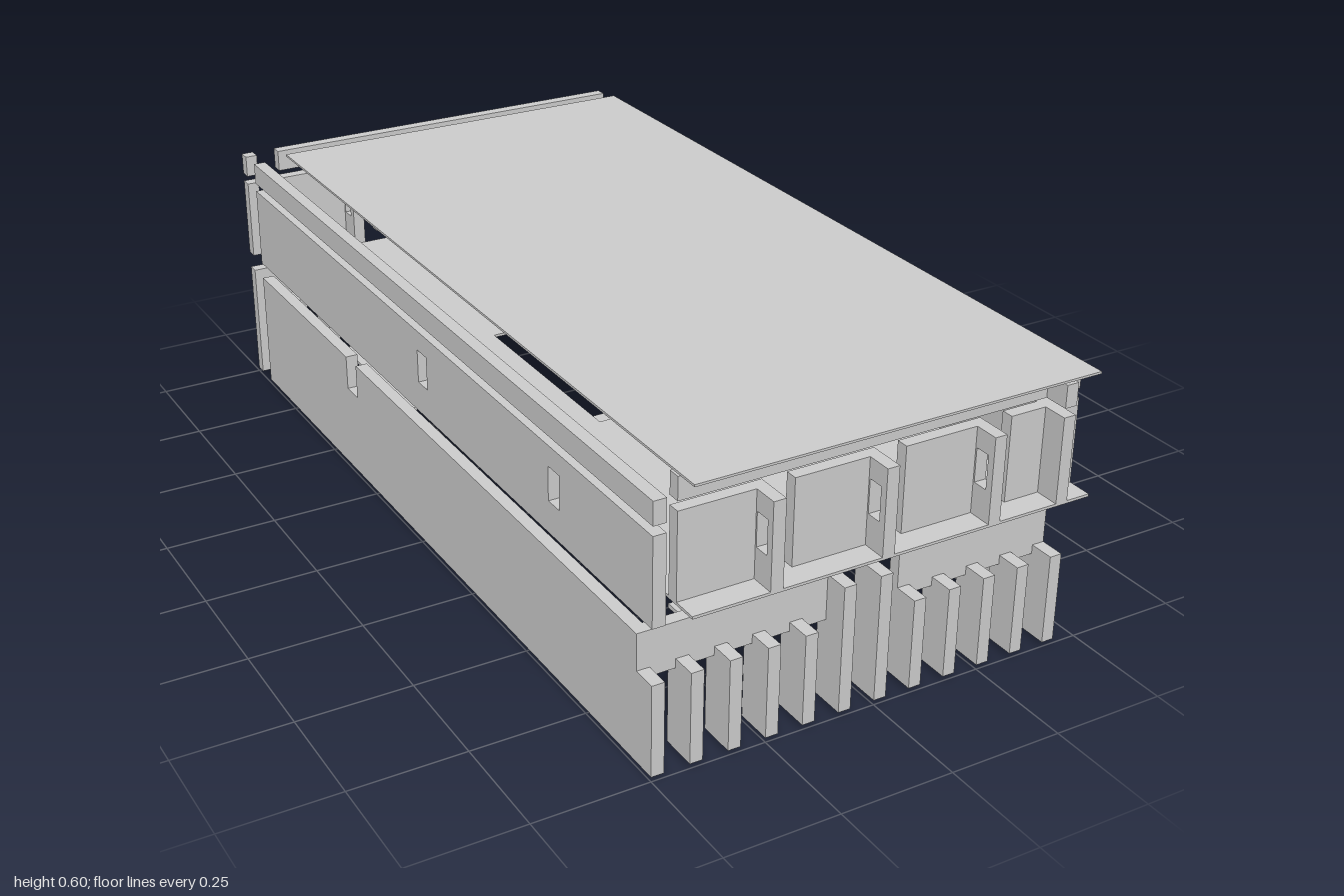
import * as THREE from 'three';

const T = 1 / 36;          // wall thickness
const IN = 33 / 36;        // inner face of the end zones
const MID = 34 / 36;
const OUT = 35 / 36;

export function createModel() {
  const model = new THREE.Group();
  const mat = new THREE.MeshStandardMaterial({ color: 0xcccccc, side: THREE.DoubleSide });

  function add(name, geometry) {
    const mesh = new THREE.Mesh(geometry, mat);
    mesh.name = name;
    model.add(mesh);
    return mesh;
  }

  // Box given by its limits
  function box(name, x0, x1, y0, y1, z0, z1) {
    add(name, new THREE.BoxGeometry(x1 - x0, y1 - y0, z1 - z0))
      .position.set((x0 + x1) / 2, (y0 + y1) / 2, (z0 + z1) / 2);
  }

  function rectHole([a0, a1, b0, b1]) {
    return new THREE.Path([[a0, b0], [a0, b1], [a1, b1], [a1, b0]].map(p => new THREE.Vector2(...p)));
  }

  // Wall in the z-y plane from an outline and rectangular windows
  function sideWall(name, x, outline, windows = []) {
    const shape = new THREE.Shape(outline.map(p => new THREE.Vector2(...p)));
    shape.holes = windows.map(rectHole);
    const geo = new THREE.ExtrudeGeometry(shape, { depth: T, bevelEnabled: false });
    geo.rotateY(-Math.PI / 2);
    add(name, geo).position.x = x + T;
  }

  // Wall outline whose top edge has notches, listed by rising z
  function notched(z0, z1, y0, y1, notchY, notches) {
    const pts = [[z0, y0], [z1, y0]];
    for (const [a, b] of [...notches].reverse()) {
      if (b < z1) pts.push([b, y1]);
      else pts.pop(), pts.push([z1, y0]);
      pts.push([b, notchY], [a, notchY], [a, y1]);
    }
    if (!notches.length || notches[notches.length - 1][1] < z1) pts.splice(2, 0, [z1, y1]);
    pts.push([z0, y1]);
    return pts;
  }

  const left = -0.5, right = 15 / 36;
  const frontGrid = i => -0.5 + i / 12;

  // Lower storey: long walls with notches and a doorway on the right
  sideWall('lowerLeftWall', left, notched(-IN, 1, 0.01, 0.29, 0.21, [[-0.39, -0.335], [MID, 1]]));
  sideWall('lowerRightFrontWall', right, notched(1 / 12, 1, 0.01, 0.29, 0.21, [[0.53, 0.585], [MID, 1]]));
  sideWall('lowerRightBackWall', right, notched(-OUT, -1 / 12, 0.01, 0.29, 0.21, [[-0.55, -0.5]]));
  box('lowerRightBackEnd', right, right + T, 0.01, 0.2, -1, -OUT);

  // Lower storey: rows of fins at both ends, door posts taller
  for (let i = 0; i < 11; i++) {
    const x = frontGrid(i), top = i === 5 || i === 6 ? 0.29 : 0.21;
    if (i > 0) box('frontFin', x, x + T, 0.01, top, IN, 1);
    if (i > 0) box('backFin', x, x + T, 0.01, top, -1, -IN);
  }
  box('backCornerPost', left, left + T, 0.01, 0.29, -1, -OUT);

  // Lower storey: end beams either side of the doorways
  box('frontBeam', left + T, -1 / 18, 0.19, 0.29, IN, MID);
  box('frontBeam', 1 / 12, right + T, 0.19, 0.29, IN, MID);
  box('backBeam', left, -1 / 18, 0.19, 0.29, -1, -OUT);
  box('backBeam', 1 / 12, 0.5, 0.19, 0.29, -1, -OUT);

  // Ground tiles
  box('groundTile', 0, 1 / 3, 0, 0.01, -1 / 3, 1 / 6);
  box('groundTile', -1 / 6, 0, 0, 0.01, 0.5, 0.583);
  box('groundTile', -1 / 6, 0, 0, 0.01, 0.77, 0.835);
  box('groundTile', -0.417, -1 / 3, 0, 0.01, -IN, -0.5);
  box('groundTile', -0.417, -0.25, 0, 0.01, -0.5, -0.417);

  // Long shelves inside
  for (const y of [0.052, 0.102, 0.152]) box('shelf', -0.305, -0.25, y, y + 0.008, -0.9, -0.5);

  // Lintels over the side doorway
  for (const z of [0, -0.08]) box('doorLintel', right, 0.5, 0.28, 0.31, z, z + T);

  // Upper floor with a stair opening
  const floor = new THREE.Shape([[-0.417, -1], [0.5, -1], [0.5, IN], [-0.417, IN]].map(p => new THREE.Vector2(...p)));
  floor.holes.push(rectHole([-0.19, 0.02, -0.25, 0.25]));
  const floorGeo = new THREE.ExtrudeGeometry(floor, { depth: 0.006, bevelEnabled: false });
  floorGeo.rotateX(-Math.PI / 2);
  add('upperFloor', floorGeo).position.y = 0.325;

  // Low ribs across the floor
  box('floorRib', 0.028, 0.5, 0.33, 0.36, 0.25, 0.25 + T);
  box('floorRib', 0.028, 0.5, 0.33, 0.36, -1 / 3, -1 / 3 + T);

  // Upper storey: long walls with windows
  const upper = notched(-IN, 1, 0.33, 0.52, 0.33, []);
  const windowsAt = zs => zs.map(z => [z - 0.022, z + 0.022, 0.4, 0.475]);
  sideWall('upperRightWall', right, upper, windowsAt([0.71, 0.378, -0.29, -0.622]));
  sideWall('upperLeftWall', left, upper, windowsAt([0.04, 0.63]));
  box('upperCornerPost', left, left + T, 0.33, 0.52, -1, -OUT);

  // Upper storey: end panels and pierced fins between them
  for (const [x0, x1] of [[-0.417, -0.25], [-1 / 6, 0], [1 / 12, 0.25], [1 / 3, 0.5]]) {
    box('frontPanel', x0, x1, 0.33, 0.52, IN, MID);
    box('backPanel', x0, x1, 0.33, 0.52, -1, -OUT);
  }
  for (const x of [-0.25, 0, 0.25]) {
    sideWall('upperFrontFin', x, notched(IN, 1, 0.33, 0.52, 0.33, []), [[0.948, 0.983, 0.4, 0.475]]);
    sideWall('upperBackFin', x, notched(-1, -IN, 0.33, 0.52, 0.33, []), [[-0.968, -0.935, 0.4, 0.475]]);
  }

  // Top beams
  box('topLeftBeam', left, left + T, 0.54, 0.59, -IN, 1);
  box('topRightBeam', right, right + T, 0.54, 0.59, -IN, 1);
  box('topFrontBeam', -0.417, 0.5, 0.54, 0.59, IN, MID);
  box('topBackBeam', -0.417, 0.5, 0.54, 0.59, -1, -OUT);
  box('topCornerBlock', left, left + T, 0.54, 0.59, -1, -OUT);

  // Roof slab
  box('roof', -0.417, 0.5, 0.595, 0.6, -IN, 1);

  return model;
}
